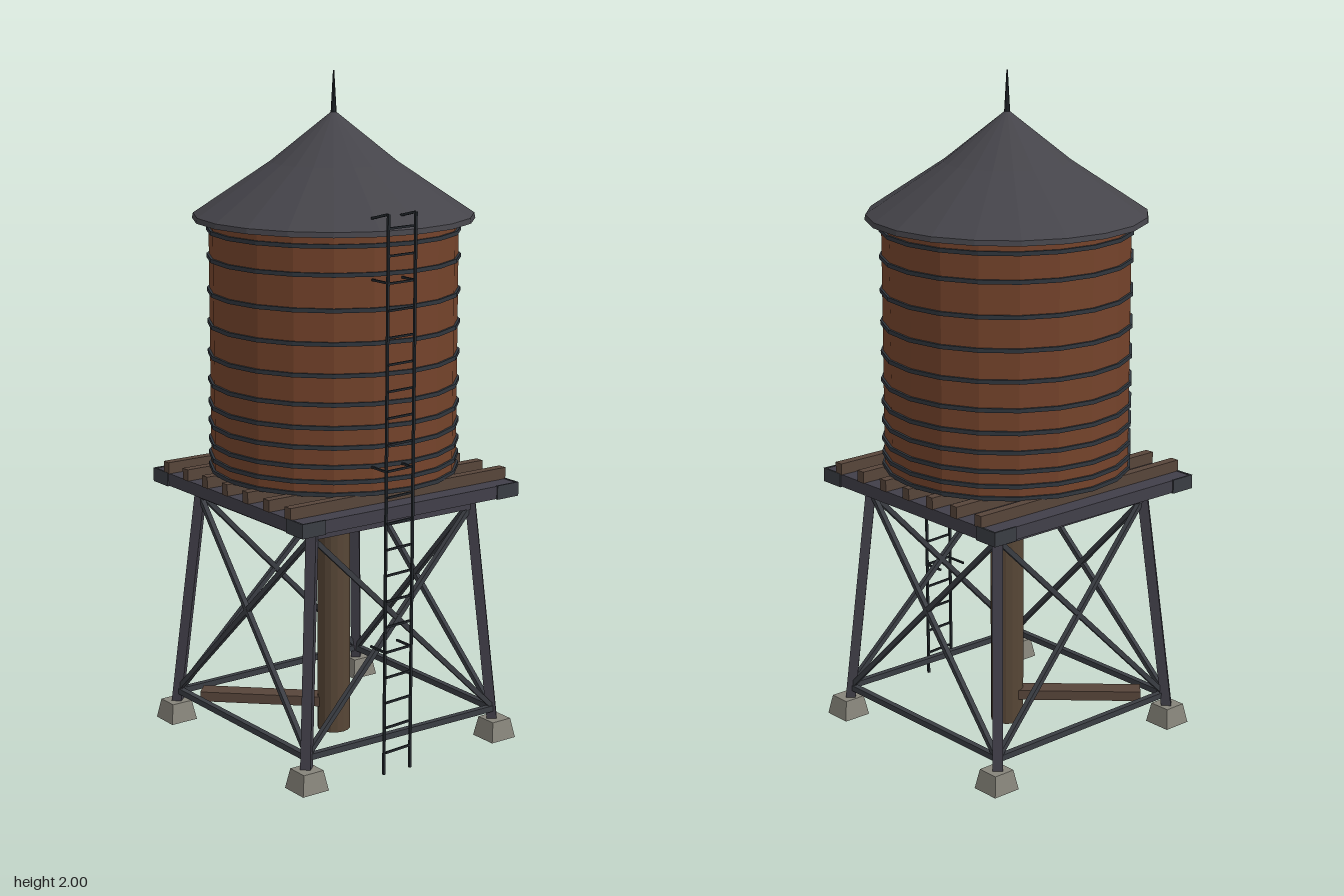
import * as THREE from 'three';

const mat = (name, color) => {
  const m = new THREE.MeshStandardMaterial({ color, flatShading: true });
  m.name = name;
  return m;
};

export function createModel() {
  const model = new THREE.Group();
  model.name = 'waterTower';
  const body = new THREE.Group();
  body.name = 'tower';
  body.position.x = -0.004;
  model.add(body);

  const roofGrey = mat('roof grey', 0x45444a);
  const steel = mat('dark steel', 0x413f49);
  const brace = mat('brace steel', 0x3a3d43);
  const iron = mat('black iron', 0x23282d);
  const band = mat('band steel', 0x30363d);
  const stave = mat('red brown staves', 0x74432b);
  const timber = mat('joist timber', 0x57453a);
  const pipeBrown = mat('pipe brown', 0x574636);
  const concrete = mat('concrete', 0x86847a);

  const add = (name, geometry, material, x = 0, y = 0, z = 0) => {
    const mesh = new THREE.Mesh(geometry, material);
    mesh.name = name;
    mesh.position.set(x, y, z);
    body.add(mesh);
    return mesh;
  };
  const V = (x, y, z) => new THREE.Vector3(x, y, z);
  // Square bar running from a to b
  const bar = (name, a, b, w, h, material) => {
    const mesh = add(name, new THREE.BoxGeometry(w, h, a.distanceTo(b)), material);
    mesh.position.copy(a).add(b).multiplyScalar(0.5);
    mesh.lookAt(b);
    return mesh;
  };
  const lathe = (points) =>
    new THREE.LatheGeometry(points.map(([r, y]) => new THREE.Vector2(r, y)), 20);

  // Conical roof with a kink, and its spike
  add('roof', lathe([[0, 1.575], [0.413, 1.575], [0.41, 1.59], [0.185, 1.74], [0, 1.888]]), roofGrey);
  add('finial', new THREE.CylinderGeometry(0.002, 0.009, 0.125, 8), iron, 0, 1.9375, 0);

  // Tank and its hoops, closer together towards the bottom
  add('tank', new THREE.CylinderGeometry(0.365, 0.365, 0.75, 20), stave, 0, 1.205, 0);
  for (const y of [1.545, 1.465, 1.365, 1.27, 1.18, 1.097, 1.03, 0.973, 0.917, 0.873, 0.837]) {
    add('hoop', new THREE.CylinderGeometry(0.372, 0.372, 0.012, 20), band, 0, y, 0);
  }

  // Joists on a steel platform
  for (let i = -3; i <= 3; i++) {
    add('joist', new THREE.BoxGeometry(0.028, 0.035, 0.78), timber, i * 0.106, 0.816, 0);
  }
  add('platform', new THREE.BoxGeometry(0.774, 0.038, 0.774), steel, 0, 0.78, 0);
  for (const sx of [-1, 1]) {
    for (const sz of [-1, 1]) {
      add('cornerPlate', new THREE.BoxGeometry(0.006, 0.042, 0.08), brace, sx * 0.388, 0.78, sz * 0.351);
      add('cornerPlate', new THREE.BoxGeometry(0.08, 0.042, 0.006), brace, sx * 0.351, 0.78, sz * 0.388);
    }
  }

  // Point on the leg line at height y, for corner signs sx, sz
  const legAt = (y, sx, sz) => {
    const d = 0.35 - 0.083 * y;
    return V(sx * d, y, sz * d);
  };

  // Legs on tapered footings
  for (const sx of [-1, 1]) {
    for (const sz of [-1, 1]) {
      bar('leg', legAt(0.04, sx, sz), legAt(0.768, sx, sz), 0.03, 0.03, steel);
      const foot = new THREE.CylinderGeometry(0.034 * Math.SQRT2, 0.045 * Math.SQRT2, 0.06, 4);
      foot.rotateY(Math.PI / 4);
      add('footing', foot, concrete, sx * 0.349, 0.03, sz * 0.349);
    }
  }

  // Horizontal struts and crossed braces on each of the four sides
  const corners = [[1, 1], [1, -1], [-1, -1], [-1, 1]];
  corners.forEach((a, i) => {
    const b = corners[(i + 1) % 4];
    bar('topStrut', legAt(0.727, ...a), legAt(0.727, ...b), 0.022, 0.022, steel);
    bar('bottomStrut', legAt(0.092, ...a), legAt(0.092, ...b), 0.018, 0.018, brace);
    bar('crossBrace', legAt(0.725, ...a), legAt(0.095, ...b), 0.015, 0.015, brace);
    bar('crossBrace', legAt(0.095, ...a), legAt(0.725, ...b), 0.015, 0.015, brace);
  });

  // Central riser and the outlet running to one corner
  add('riserPipe', new THREE.CylinderGeometry(0.05, 0.05, 0.83, 16), pipeBrown, 0, 0.415, 0);
  bar('outletPlank', V(0, 0.089, 0), V(-0.285, 0.089, 0.295), 0.06, 0.03, timber);

  // Ladder with stand-off brackets on the left side
  const lx = 0.416, z0 = 0.026, z1 = 0.121;
  for (const z of [z0, z1]) {
    bar('ladderRail', V(lx, 0.01, z), V(lx, 1.64, z), 0.007, 0.007, iron);
    bar('ladderHook', V(lx, 1.638, z), V(0.345, 1.622, z), 0.007, 0.007, iron);
    for (const y of [0.382, 0.915, 1.45]) {
      bar('ladderBracket', V(lx, y, z), V(0.347, y, z), 0.006, 0.006, iron);
    }
  }
  for (let i = 0; i < 21; i++) {
    const y = 0.079 + i * 0.0761;
    bar('ladderRung', V(lx, y, z0), V(lx, y, z1), 0.006, 0.006, iron);
  }

  return model;
}
